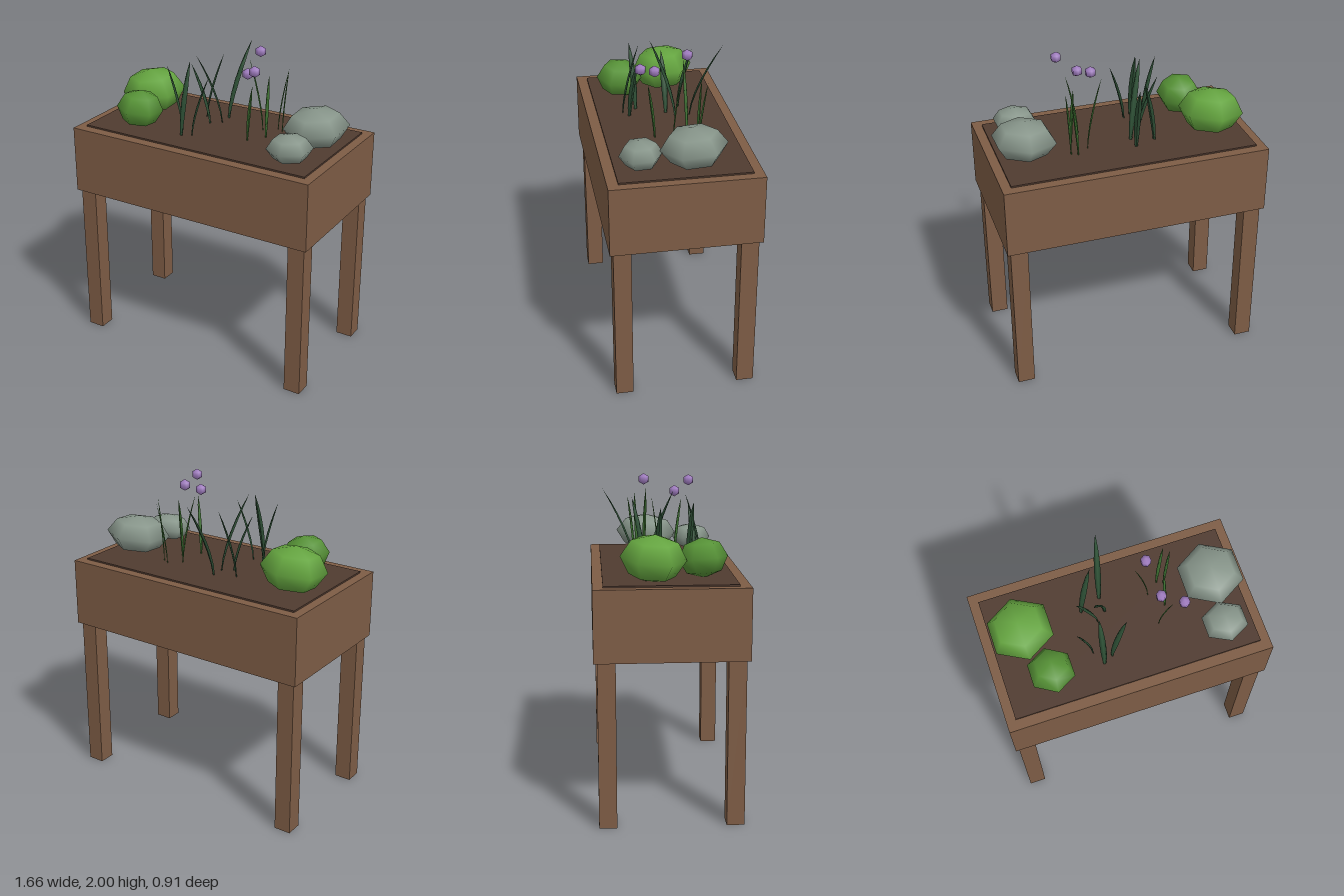
import * as THREE from 'three';

const paint = (color) => new THREE.MeshStandardMaterial({ color });
const wood = paint(0x7d5c45);
const soilMat = paint(0x503b30);
const stone = paint(0x87958a);
const bushLight = paint(0x64a43f);
const bushDark = paint(0x569236);
const reedMat = paint(0x2f5237);
const stemMat = paint(0x3f7433);
const petal = paint(0xa07cc0);

function add(parent, name, geometry, material, x, y, z) {
  const mesh = new THREE.Mesh(geometry, material);
  mesh.name = name;
  mesh.position.set(x, y, z);
  parent.add(mesh);
  return mesh;
}

// Six-sided flattened lump with a slight tilt, used for shrubs and stones
function lump(parent, name, material, [x, y, z], [rx, ry, rz], tilt) {
  const geo = new THREE.SphereGeometry(1, 6, 4);
  geo.rotateY(Math.PI / 6);
  geo.scale(rx, ry, rz);
  const mesh = add(parent, name, geo, material, x, y, z);
  mesh.rotation.set(tilt, 0, tilt);
}

// Tapered blade: a four-sided tube that swells, narrows to a point and bends outwards
function blade(parent, name, material, [bx, bz], [tx, ty, tz], width) {
  const base = 1.45;
  const dx = tx - bx, dz = tz - bz, len = Math.hypot(dx, dz);
  const ux = dx / len, uz = dz / len;
  const geo = new THREE.CylinderGeometry(1, 1, 1, 4, 6);
  const p = geo.attributes.position;
  for (let i = 0; i < p.count; i++) {
    const t = p.getY(i) + 0.5;
    const w = width * Math.pow(Math.max(0, 1 - t), 0.8) * (0.35 + 2 * t);
    const side = p.getX(i) * w, depth = p.getZ(i) * w * 0.35;
    const bend = Math.pow(t, 1.5);
    p.setXYZ(i,
      dx * bend + uz * side + ux * depth,
      (ty - base) * t,
      dz * bend - ux * side + uz * depth);
  }
  geo.computeVertexNormals();
  add(parent, name, geo, material, bx, base, bz);
}

export function createModel() {
  const model = new THREE.Group();
  model.name = 'raisedPlanter';

  // Trough, soil and legs
  add(model, 'planterBox', new THREE.BoxGeometry(1.66, 0.43, 0.91), wood, 0, 1.23, 0);
  add(model, 'soil', new THREE.BoxGeometry(1.545, 0.04, 0.785), soilMat, 0, 1.435, -0.002);
  for (const x of [-0.755, 0.755]) {
    for (const z of [-0.38, 0.38]) {
      add(model, 'leg', new THREE.BoxGeometry(0.107, 1.02, 0.107), wood, x, 0.51, z);
    }
  }

  // Shrubs and stones
  lump(model, 'largeShrub', bushLight, [-0.585, 1.58, -0.095], [0.205, 0.142, 0.197], 0.08);
  lump(model, 'smallShrub', bushDark, [-0.488, 1.565, 0.205], [0.145, 0.12, 0.148], -0.08);
  lump(model, 'largeStone', stone, [0.61, 1.567, -0.075], [0.204, 0.118, 0.202], 0.06);
  lump(model, 'smallStone', stone, [0.592, 1.535, 0.233], [0.144, 0.086, 0.13], 0.04);

  // Broad dark reeds: base x, z and tip x, y, z
  const reeds = new THREE.Group();
  reeds.name = 'reeds';
  model.add(reeds);
  [
    [[-0.066, -0.18], [-0.015, 1.93, -0.38]],
    [[-0.2, -0.13], [-0.11, 1.88, -0.2]],
    [[-0.12, -0.04], [-0.25, 1.83, -0.03]],
    [[-0.06, -0.09], [-0.165, 1.93, 0.055]],
    [[-0.21, 0.14], [-0.305, 1.87, 0.165]],
    [[-0.165, 0.23], [-0.16, 1.91, 0.125]],
    [[-0.11, 0.195], [-0.005, 1.84, 0.16]],
  ].forEach(([b, t]) => blade(reeds, 'reed', reedMat, b, t, 0.025));

  // Slim stems and blossoms
  const flowers = new THREE.Group();
  flowers.name = 'flowers';
  model.add(flowers);
  [
    [[0.225, -0.11], [0.128, 1.91, -0.1]],
    [[0.3, -0.17], [0.345, 1.84, -0.21]],
    [[0.34, -0.15], [0.37, 1.87, -0.165]],
    [[0.3, -0.01], [0.292, 1.84, -0.055]],
    [[0.225, 0.09], [0.285, 1.83, 0.14]],
  ].forEach(([b, t]) => blade(flowers, 'stem', stemMat, b, t, 0.014));
  for (const [x, y, z] of [[0.2, 1.964, -0.11], [0.327, 1.944, 0.19], [0.225, 1.884, 0.09]]) {
    const geo = new THREE.SphereGeometry(0.036, 6, 3);
    geo.rotateY(Math.PI / 6);
    add(flowers, 'blossom', geo, petal, x, y, z);
  }

  return model;
}
